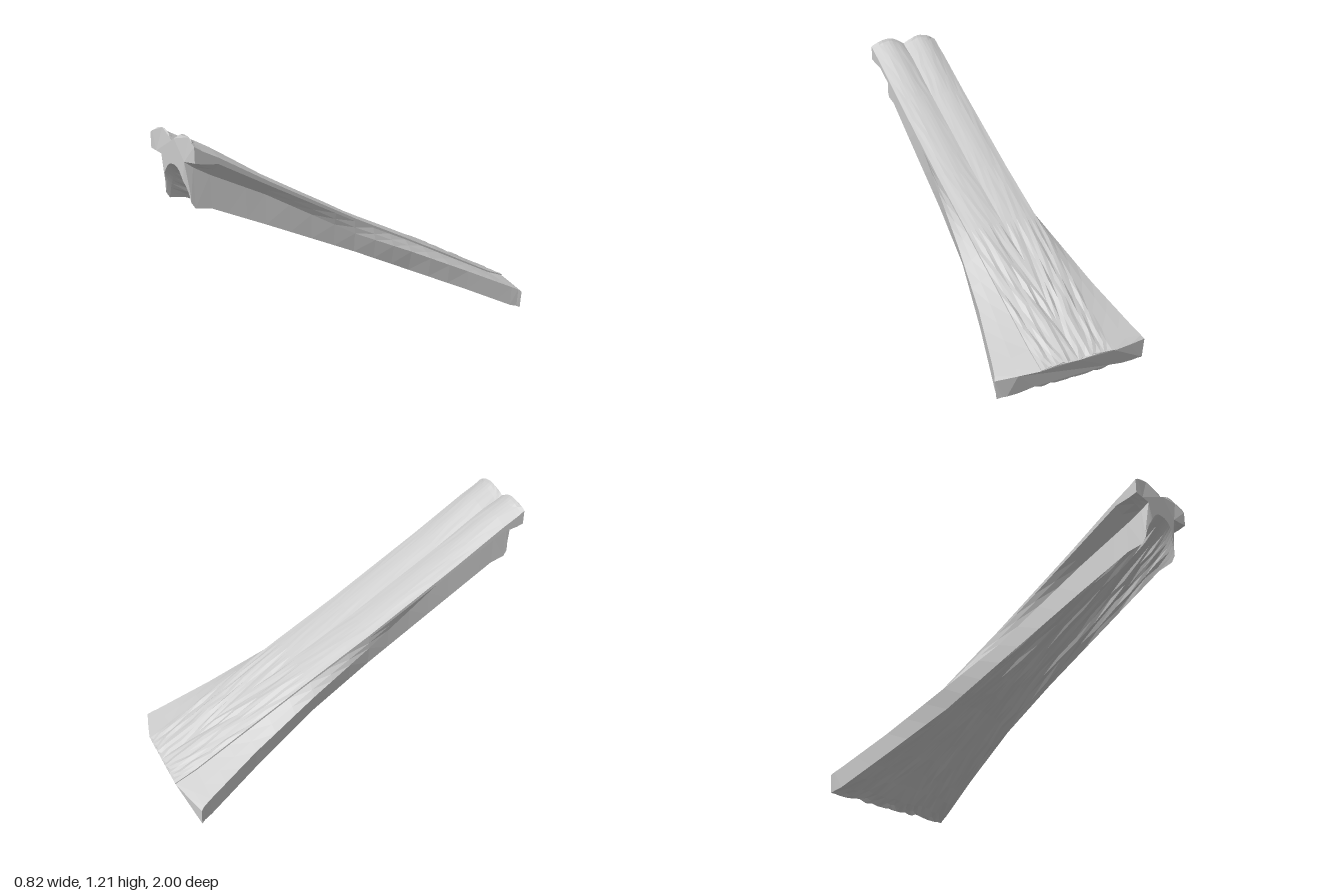
import * as THREE from 'three';

// Key sections from the high front to the low back:
// z, top centre y, ridge rise, plate edge y, plate lip y, wall top y, wall half width,
// wall bottom y, wall bottom half width, arch centre y
const KEYS = [
  [1.0, 1.17, 0.04, 1.175, 1.10, 1.09, 0.105, 0.93, 0.115, 1.06],
  [0.96, 1.15, 0.037, 1.15, 1.09, 1.06, 0.112, 0.87, 0.119, 1.03],
  [0.88, 1.115, 0.033, 1.11, 1.08, 1.015, 0.12, 0.857, 0.124, 0.975],
  [0.6, 0.955, 0.02, 0.95, 0.93, 0.88, 0.145, 0.732, 0.15, 0.83],
  [0.1, 0.685, 0.015, 0.68, 0.665, 0.6, 0.20, 0.503, 0.192, 0.57],
  [-0.24, 0.52, 0.012, 0.51, 0.50, 0.445, 0.253, 0.338, 0.228, 0.40],
  [-0.6, 0.335, 0.012, 0.325, 0.315, 0.272, 0.318, 0.165, 0.308, 0.205],
  [-0.88, 0.19, 0.012, 0.18, 0.172, 0.135, 0.388, 0.026, 0.38, 0.045],
  [-1.0, 0.13, 0.008, 0.13, 0.125, 0.10, 0.41, 0.003, 0.40, 0.005],
];
const STATIONS = [1, 0.98, 0.96, 0.88, 0.8, 0.7, 0.6, 0.47, 0.35, 0.22, 0.1, -0.02, -0.13,
  -0.24, -0.36, -0.48, -0.6, -0.7, -0.79, -0.88, -0.95, -1];
const PLATE = 0.2;
const TOP_STEPS = 10;
const ARCH_STEPS = 14;

function section(z) {
  let i = 0;
  while (i < KEYS.length - 2 && z < KEYS[i + 1][0]) i++;
  const a = KEYS[i], b = KEYS[i + 1];
  const t = (a[0] - z) / (a[0] - b[0]);
  return a.map((v, k) => THREE.MathUtils.lerp(v, b[k], t));
}

function makeRandom(seed) {
  return () => {
    seed = (seed * 16807) % 2147483647;
    return seed / 2147483647 - 0.5;
  };
}

// Half of a section, from top centre round to the middle of the arch
function halfProfile(z, rand, furrows) {
  const [, top, rise, edge, lip, wallTop, wallX, low, lowX, arch] = section(z);
  const pts = [];
  const topRough = z < -0.3 && z > -1 ? 0.018 : 0.003;
  for (let k = 0; k <= TOP_STEPS; k++) { // top plate, rough towards the back
    const s = k / TOP_STEPS;
    const y = THREE.MathUtils.lerp(top, edge, s) + rise * Math.sin(Math.PI * s);
    pts.push([PLATE * s, y + (k < TOP_STEPS ? rand() * topRough : 0)]);
  }
  pts.push([PLATE, lip]); // thin lip, then a slope to the side wall
  pts.push([(PLATE + wallX) / 2, (lip + wallTop) / 2]);
  pts.push([wallX, wallTop]);
  const power = z > 0.5 ? 2.5 : 2;
  for (let k = ARCH_STEPS; k >= 0; k--) { // furrowed, arched underside
    const s = k / ARCH_STEPS;
    const inner = k > 0 && k < ARCH_STEPS && z < 0.9;
    const rough = inner ? furrows[k] * 0.012 + rand() * 0.016 : 0;
    const y = arch + (low - arch) * Math.pow(s, power) + rough;
    pts.push([lowX * s + (inner ? rand() * 0.01 : 0), Math.max(y, 0)]);
  }
  return pts.map(([x, y], j) => {
    let pz = z;
    if (z === 1) pz -= y > 1.19 ? 0.01 : Math.max(0, 1 - y) * 0.3;
    if (z < -0.9) { // chipped back end, swept at the corners
      const back = (-z - 0.9) / 0.1;
      const drop = THREE.MathUtils.clamp((0.13 - y) / 0.13, 0, 1);
      const sweep = Math.max(0, x - PLATE) / 0.21;
      pz += 0.06 * back * Math.max(drop, sweep);
      if (z === -1 && j > 0 && j < TOP_STEPS) pz += (j % 3) * 0.006;
    }
    return [x, y, pz];
  });
}

function buildSlab() {
  const rand = makeRandom(4217);
  const furrows = Array.from({ length: ARCH_STEPS + 1 }, rand);
  const rings = STATIONS.map((z) => {
    const half = halfProfile(z, rand, furrows);
    const mirrored = half.slice(1, -1).reverse().map(([x, y, pz]) => [-x, y, pz]);
    return [...half, ...mirrored];
  });
  const n = rings[0].length;
  const index = [];
  for (let i = 0; i < rings.length - 1; i++) {
    for (let j = 0; j < n; j++) {
      const a = i * n + j, b = i * n + (j + 1) % n, c = a + n, d = b + n;
      // mirror the diagonals so both halves match
      if (j < n / 2) index.push(a, b, c, b, d, c);
      else index.push(a, b, d, a, d, c);
    }
  }
  // End caps
  const cap = (ring, offset, facing) => {
    const flat = ring.map(([x, y]) => new THREE.Vector2(x, y));
    for (const [a, b, c] of THREE.ShapeUtils.triangulateShape(flat, [])) {
      const area = THREE.ShapeUtils.area([flat[a], flat[b], flat[c]]);
      if (area * facing > 0) index.push(a + offset, b + offset, c + offset);
      else index.push(a + offset, c + offset, b + offset);
    }
  };
  cap(rings[0], 0, 1);
  cap(rings[rings.length - 1], (rings.length - 1) * n, -1);

  const geometry = new THREE.BufferGeometry();
  geometry.setAttribute('position', new THREE.Float32BufferAttribute(rings.flat(2), 3));
  geometry.setIndex(index);
  const faceted = geometry.toNonIndexed();
  faceted.computeVertexNormals();
  return faceted;
}

export function createModel() {
  const group = new THREE.Group();
  group.name = 'flaredSlopingSlab';
  const stone = new THREE.MeshStandardMaterial({ color: 0xcccccc });
  stone.name = 'paleGrey';
  const slab = new THREE.Mesh(buildSlab(), stone);
  slab.name = 'slab';
  group.add(slab);
  return group;
}
